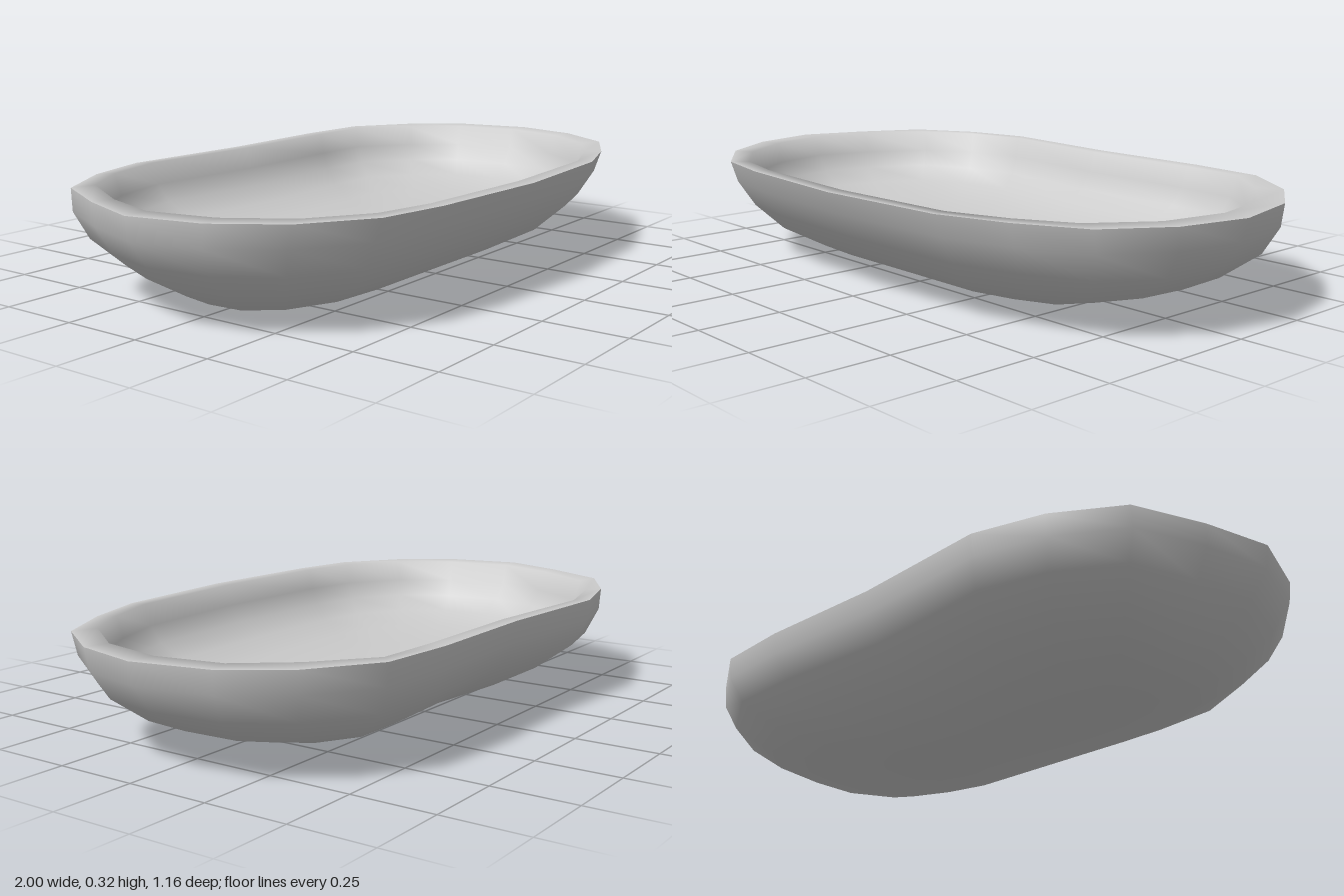
import * as THREE from 'three';
import { mergeVertices } from 'three/addons/utils/BufferGeometryUtils.js';

// Rim outlines as [x, z], same number of points in each
const OUTER = [
  [1, -0.01], [0.95, 0.2], [0.83, 0.38], [0.64, 0.48], [0.43, 0.55], [0, 0.58], [-0.43, 0.55],
  [-0.64, 0.51], [-0.83, 0.38], [-0.95, 0.2], [-1, -0.02], [-0.93, -0.22], [-0.83, -0.42],
  [-0.64, -0.53], [-0.43, -0.585], [0, -0.555], [0.4, -0.56], [0.64, -0.54], [0.83, -0.41], [0.95, -0.24],
];
const INNER = [
  [0.92, -0.02], [0.88, 0.18], [0.76, 0.35], [0.6, 0.44], [0.42, 0.505], [0, 0.53], [-0.42, 0.505],
  [-0.6, 0.465], [-0.77, 0.35], [-0.88, 0.18], [-0.925, -0.02], [-0.87, -0.2], [-0.76, -0.4],
  [-0.6, -0.495], [-0.4, -0.545], [0, -0.51], [0.4, -0.51], [0.6, -0.5], [0.76, -0.37], [0.88, -0.22],
];
const RIM_Y = 0.317;

// One horizontal ring: outline scaled separately to right, left, back and front,
// with its corners pushed out by the last factor
function ring(outline, y, right, left, back, front, corner) {
  return outline.map(([x, z]) => {
    const fuller = 1 + corner * Math.abs(x * z) * 3;
    return [x * (x < 0 ? right : left) * fuller, y, z * (z < 0 ? back : front) * fuller];
  });
}

// Smooth skin through consecutive rings
function loft(rings) {
  const n = rings[0].length;
  const index = [];
  for (let r = 0; r < rings.length - 1; r++) {
    for (let i = 0; i < n; i++) {
      const j = (i + 1) % n;
      const a = r * n + i, b = r * n + j, c = a + n, d = b + n;
      index.push(a, b, c, b, d, c);
    }
  }
  const geometry = new THREE.BufferGeometry();
  geometry.setAttribute('position', new THREE.Float32BufferAttribute(rings.flat(2), 3));
  geometry.setIndex(index);
  const welded = mergeVertices(geometry, 1e-4);
  welded.computeVertexNormals();
  return welded;
}

export function createModel() {
  const model = new THREE.Group();
  model.name = 'shallowDish';
  const material = new THREE.MeshStandardMaterial({ color: 0xcccccc });

  const add = (name, rings) => {
    const mesh = new THREE.Mesh(loft(rings), material);
    mesh.name = name;
    model.add(mesh);
  };

  // Broad floor curving up into a steep wall, then the flat lip
  const inside = [
    [0.093, 0, 0, 0, 0, 0],
    [0.098, 0.5, 0.48, 0.33, 0.33, 0.05],
    [0.117, 0.74, 0.73, 0.58, 0.58, 0.05],
    [0.15, 0.87, 0.87, 0.78, 0.78, 0.04],
    [0.197, 0.94, 0.94, 0.9, 0.9, 0.02],
    [0.25, 0.985, 0.985, 0.97, 0.97, 0],
    [RIM_Y, 1, 1, 1, 1, 0],
  ].map((level) => ring(INNER, ...level));
  add('interiorAndRim', [...inside, ring(OUTER, RIM_Y, 1, 1, 1, 1, 0)]);

  // Rounded outside, from the lip down to the base
  add('outerShell', [
    [RIM_Y, 1, 1, 1, 1, 0],
    [0.25, 0.99, 0.985, 0.98, 0.945, 0.01],
    [0.17, 0.93, 0.925, 0.9, 0.84, 0.03],
    [0.09, 0.83, 0.8, 0.71, 0.68, 0.06],
    [0.025, 0.715, 0.58, 0.5, 0.46, 0.08],
    [0.004, 0.58, 0.32, 0.27, 0.24, 0.08],
    [0, 0, 0, 0, 0, 0],
  ].map((level) => ring(OUTER, ...level)));

  return model;
}
